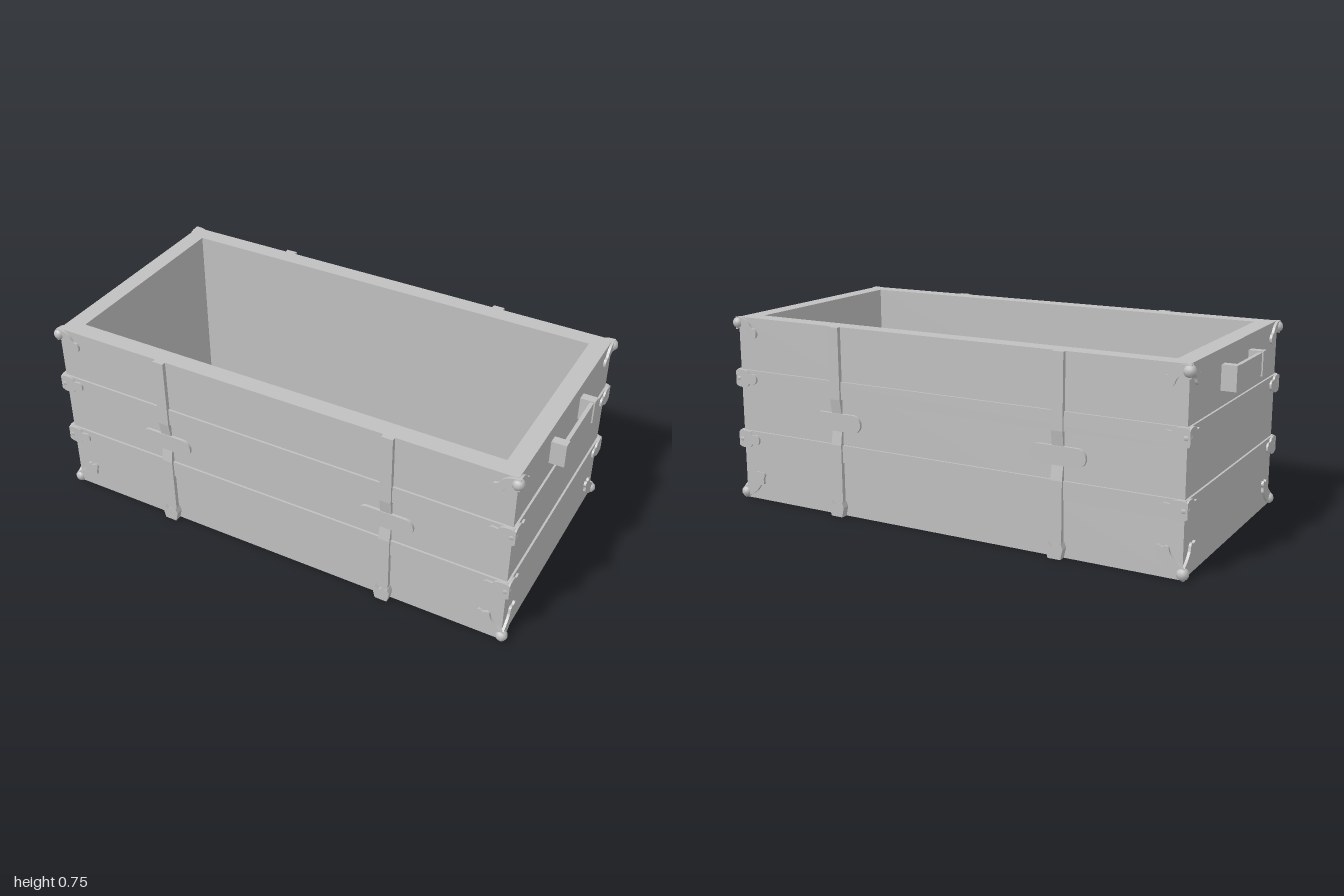
import * as THREE from 'three';

const W = 0.943, D = 0.473, H = 0.745; // half width, half depth and height of the box

export function createModel() {
  const model = new THREE.Group();
  const grey = new THREE.MeshStandardMaterial({ color: 0xc0c0c0 });
  grey.name = 'grey metal';

  const add = (name, geo, x = 0, y = 0, z = 0) => {
    const mesh = new THREE.Mesh(geo, grey);
    mesh.name = name;
    mesh.position.set(x, y, z);
    model.add(mesh);
    return mesh;
  };
  const vecs = (pts) => pts.map(([x, y]) => new THREE.Vector2(x, y));
  const extrude = (shape, depth) =>
    new THREE.ExtrudeGeometry(shape, { depth, bevelEnabled: false, curveSegments: 10 });

  // Rectangular ring standing upright
  const ring = (x, z, ix, iz, h) => {
    const s = new THREE.Shape(vecs([[-x, -z], [x, -z], [x, z], [-x, z]]));
    s.holes.push(new THREE.Path(vecs([[-ix, -iz], [-ix, iz], [ix, iz], [ix, -iz]])));
    return extrude(s, h).rotateX(-Math.PI / 2);
  };

  // Open box with two raised bands
  add('walls', ring(W, D, 0.873, 0.403, H));
  add('floor', new THREE.BoxGeometry(1.76, 0.05, 0.82), 0, 0.025);
  for (const y of [0.215, 0.465]) add('band', ring(W + 0.008, D + 0.008, W - 0.02, D - 0.02, 0.07), 0, y);

  // Straps with a cross plate and a notched foot clip, front and back
  const strapProfile = [[0.46, 0], [0.49, 0], [0.49, 0.285], [0.481, 0.34], [0.481, 0.41],
    [0.49, 0.465], [0.49, H], [0.46, H]];
  const plate = new THREE.Shape();
  plate.moveTo(-0.075, -0.035);
  plate.lineTo(0.075, -0.035);
  plate.absarc(0.075, 0, 0.035, -Math.PI / 2, Math.PI / 2, false);
  plate.lineTo(-0.075, 0.035);
  plate.absarc(-0.075, 0, 0.035, Math.PI / 2, Math.PI * 1.5, false);
  const clip = new THREE.Shape(vecs([[-0.025, 0], [0.025, 0], [0.034, 0.04], [0.026, 0.06],
    [0.012, 0.045], [0, 0.055], [-0.012, 0.045], [-0.026, 0.06], [-0.034, 0.04]]));
  for (const side of [1, -1]) {
    for (const x of [-0.473, 0.473]) {
      const strap = new THREE.Shape(vecs(strapProfile.map(([z, y]) => [-side * z, y])));
      add('strap', extrude(strap, 0.045).rotateY(Math.PI / 2), x - 0.0225);
      const back = (near, depth) => (side > 0 ? near : -near - depth);
      add('crossPlate', extrude(plate, 0.014), x, 0.375, back(0.47, 0.014));
      add('footClip', extrude(clip, 0.032), x, 0, back(0.47, 0.032));
    }
  }

  // Corner bracket outlines: distance from the corner, height
  const topHook = [[0, 0.745], [0.035, 0.742], [0.06, 0.728], [0.077, 0.706], [0.092, 0.701],
    [0.1, 0.685], [0.094, 0.668], [0.075, 0.664], [0.06, 0.672], [0.053, 0.69],
    [0.04, 0.703], [0.02, 0.702], [0, 0.697]];
  const lobes = [[0, 0.028], [0.02, 0.035], [0.052, 0.032], [0.066, 0.019], [0.085, 0.021], [0.098, 0.012]];
  const clasp = (y) => [...lobes.map(([u, v]) => [u, y + v]), [0.101, y],
    ...lobes.map(([u, v]) => [u, y - v]).reverse()];
  const foot = [[0, 0.045], [0.03, 0.065], [0.052, 0.088], [0.06, 0.112], [0.074, 0.117],
    [0.084, 0.111], [0.1, 0.118], [0.11, 0.105], [0.103, 0.09], [0.104, 0.07],
    [0.086, 0.06], [0.07, 0.04], [0.04, 0.018], [0, 0.002]];
  const brackets = [
    { pts: topHook, depth: 0.01, knobY: 0.722, r: 0.023 },
    { pts: clasp(0.5), depth: 0.016, knobY: 0.5, r: 0.018 },
    { pts: clasp(0.25), depth: 0.016, knobY: 0.25, r: 0.018 },
    { pts: foot, depth: 0.01, knobY: 0.024, r: 0.023 },
  ];
  const outline = (pts, map) => new THREE.Shape(
    new THREE.SplineCurve(vecs(pts.map(([u, v]) => [map(u), v]))).getPoints(44));

  // Each corner carries a pair of brackets and a knob at every level
  for (const sx of [1, -1]) {
    for (const sz of [1, -1]) {
      for (const { pts, depth, knobY, r } of brackets) {
        const onZ = extrude(outline(pts, (u) => sx * (W + depth - u)), depth);
        add('cornerBracket', onZ, 0, 0, sz > 0 ? D : -D - depth);
        const onX = extrude(outline(pts, (u) => -sz * (D + depth - u)), depth).rotateY(Math.PI / 2);
        add('cornerBracket', onX, sx > 0 ? W : -W - depth);
        add('cornerKnob', new THREE.SphereGeometry(r, 10, 8), sx * (W + 0.001), knobY, sz * (D + 0.001));
      }
    }
  }

  // End handles: two blocks carrying a flat grip
  for (const sx of [1, -1]) {
    for (const sz of [1, -1]) {
      add('handleBlock', new THREE.BoxGeometry(0.062, 0.093, 0.035), sx * 0.969, 0.641, sz * 0.147);
    }
    add('handleGrip', new THREE.BoxGeometry(0.015, 0.083, 0.27), sx * 0.987, 0.641, 0);
  }
  return model;
}
